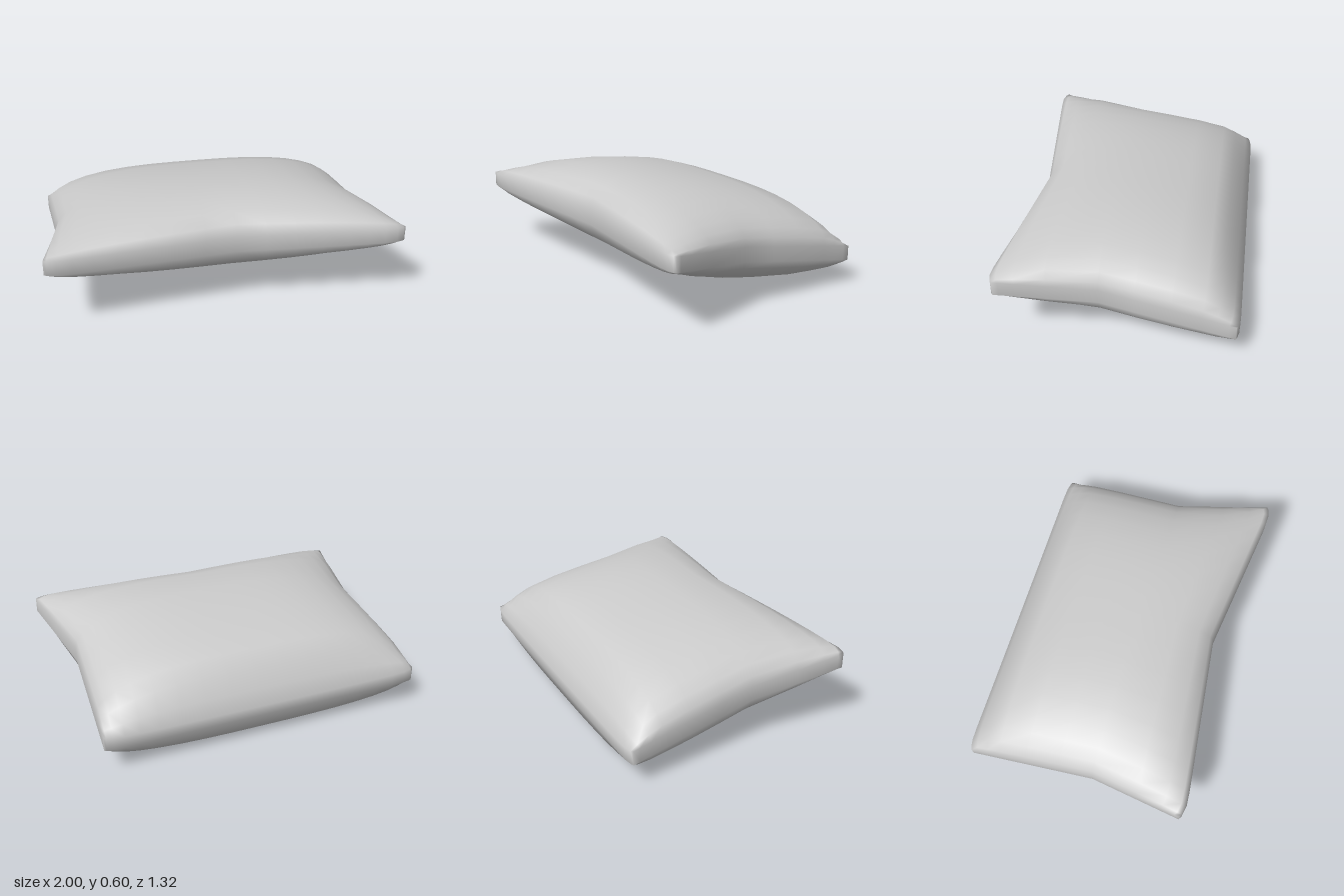
import * as THREE from 'three';

// lengthwise profile, front to back: z, height above and below the seam
const PROFILE = [
  [0.545, 0.04, -0.05], [0.52, 0.11, -0.12], [0.45, 0.175, -0.16], [0.32, 0.24, -0.205],
  [0.1, 0.277, -0.25], [-0.1, 0.285, -0.255], [-0.3, 0.285, -0.247], [-0.47, 0.26, -0.215],
  [-0.55, 0.2, -0.19], [-0.62, 0.11, -0.14], [-0.66, 0.03, -0.03],
];
const BACK = -0.66, FRONT = 0.545, CREASE = 0.1;
const RIM = 0.042; // half height of the blunt side edges
const STATIONS = 18; // slices across the width

// place one profile point (z, h) on the slice at u = -1..1
function place(u, z, h) {
  // how far towards the front or back edge, measured from the crease
  const f = Math.max(0, (z - CREASE) / (FRONT - CREASE));
  const b = Math.max(0, (CREASE - z) / (CREASE - BACK));
  // front edge is drawn in at its middle, corners flare out and are nipped off
  const d = u > 0.05 ? (u - 0.05) / 0.95 : (0.05 - u) / 1.05;
  const nip = Math.abs(u) ** 30;
  const zz = z + f * (0.125 * d - 0.035 * nip) + b * 0.02 * nip;
  // sides are drawn in at the crease
  const x = u * (0.898 + 0.102 * f + 0.042 * b) - 0.015 * (1 - f);
  // stuffing thins to the rim at the sides and front corners; the cushion leans back
  const fill = Math.sqrt(Math.max(0, 1 - Math.abs(u) ** 3)) * (1 - 0.4 * d * f * f);
  const y = 0.3 + 0.178 * zz + h * fill + Math.sign(h) * RIM * (1 - fill);
  return [x, y, zz];
}

function cushionGeometry() {
  const n = PROFILE.length, m = 2 * n;
  const loop = [
    ...PROFILE.map(([z, top]) => [z, top]),
    ...PROFILE.map(([z, , bottom]) => [z, bottom]).reverse(),
  ];
  const pos = [], idx = [];
  for (let i = 0; i <= STATIONS; i++) {
    const t = (2 * i) / STATIONS - 1;
    const u = Math.sin(t * Math.PI / 2) + 0.05 * (1 - t * t) ** 2;
    for (const [z, h] of loop) pos.push(...place(u, z, h));
  }
  // skin between slices
  for (let i = 0; i < STATIONS; i++) {
    for (let j = 0; j < m; j++) {
      const a = i * m + j, c = i * m + (j + 1) % m;
      idx.push(a, a + m, c, c, a + m, c + m);
    }
  }
  // narrow side edges
  const last = STATIONS * m;
  for (let j = 0; j < n - 1; j++) {
    const t0 = j, t1 = j + 1, b0 = m - 1 - j, b1 = m - 2 - j;
    idx.push(t0, t1, b0, t1, b1, b0);
    idx.push(last + t0, last + b0, last + t1, last + t1, last + b0, last + b1);
  }
  const geo = new THREE.BufferGeometry();
  geo.setAttribute('position', new THREE.Float32BufferAttribute(pos, 3));
  geo.setIndex(idx);
  geo.computeVertexNormals();
  return geo;
}

export function createModel() {
  const group = new THREE.Group();
  group.name = 'pillow';
  const cushion = new THREE.Mesh(
    cushionGeometry(),
    new THREE.MeshStandardMaterial({ color: 0xcccccc }),
  );
  cushion.name = 'cushion';
  group.add(cushion);
  return group;
}
